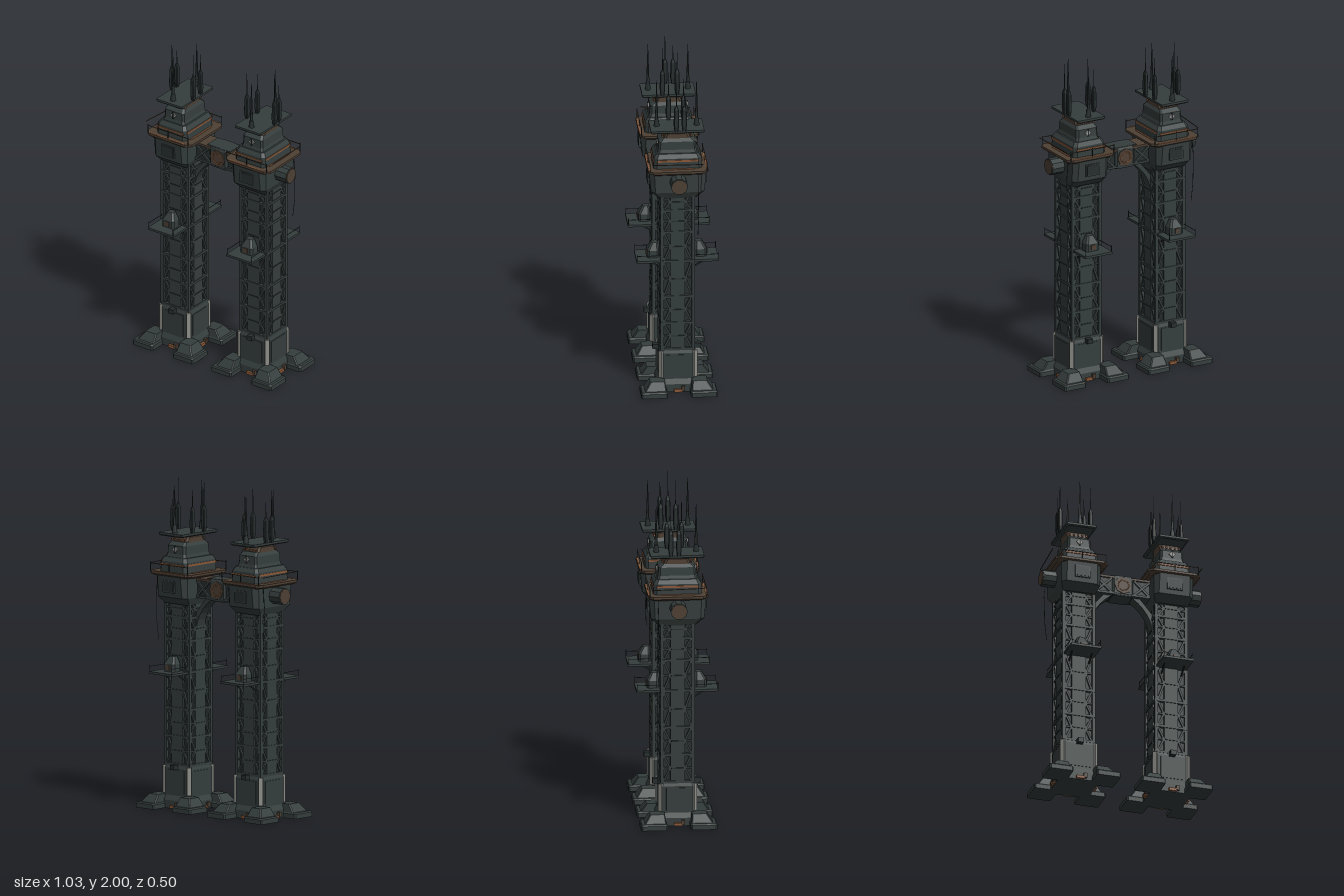
import * as THREE from 'three';

const mat = (name, color, side = THREE.FrontSide) =>
  Object.assign(new THREE.MeshStandardMaterial({ color, side }), { name });

export function createModel() {
  const slate = mat('slate', 0x353e3d);
  const dark = mat('darkSteel', 0x272e2e);
  const brown = mat('rustBrown', 0x4e4034);
  const copper = mat('copper', 0x8c5a3a);
  const pale = mat('paleStone', 0x8f908b);

  const add = (parent, name, geo, material, x = 0, y = 0, z = 0) => {
    const m = new THREE.Mesh(geo, material);
    m.name = name;
    m.position.set(x, y, z);
    parent.add(m);
    return m;
  };
  const box = (p, name, material, w, h, d, x, y, z) =>
    add(p, name, new THREE.BoxGeometry(w, h, d), material, x, y, z);

  // Chamfered rectangular loft; each level is [y, halfX, halfZ, chamfer, shiftX, shiftZ]
  function loft(levels) {
    const pos = [], idx = [];
    for (const [y, a, b, c = 0.004, sx = 0, sz = 0] of levels) {
      const ring = [[a, b - c], [a, c - b], [a - c, -b], [c - a, -b], [-a, c - b], [-a, b - c], [c - a, b], [a - c, b]];
      for (const [x, z] of ring) pos.push(x + sx, y, z + sz);
    }
    const last = (levels.length - 1) * 8;
    for (let i = 0; i < last; i += 8)
      for (let k = 0; k < 8; k++) {
        const n = (k + 1) % 8;
        idx.push(i + k, i + n, i + 8 + n, i + k, i + 8 + n, i + 8 + k);
      }
    for (let k = 1; k < 7; k++) idx.push(last, last + k, last + k + 1, 0, k + 1, k);
    const g = new THREE.BufferGeometry();
    g.setAttribute('position', new THREE.Float32BufferAttribute(pos, 3));
    g.setIndex(idx);
    const flat = g.toNonIndexed();
    flat.computeVertexNormals();
    return flat;
  }

  // Thin bar between two points
  function bar(p, name, material, a, b, w, d = w) {
    const va = new THREE.Vector3(...a), vb = new THREE.Vector3(...b);
    const dir = vb.clone().sub(va);
    const m = add(p, name, new THREE.BoxGeometry(w, dir.length(), d), material);
    m.position.copy(va.add(vb).multiplyScalar(0.5));
    m.quaternion.setFromUnitVectors(new THREE.Vector3(0, 1, 0), dir.normalize());
    return m;
  }

  // Lattice on one face of the shaft, drawn facing +z
  function latticeFace() {
    const g = new THREE.Group();
    g.name = 'latticeFace';
    box(g, 'centrePanel', slate, 0.088, 1.02, 0.02, 0, 0.77, 0.09);
    const bands = [0.27, 0.44, 0.61, 0.84, 1.03, 1.17, 1.28];
    bands.forEach((y, i) => {
      box(g, 'crossBand', slate, 0.2, 0.016, 0.022, 0, y, 0.094);
      if (i === bands.length - 1) return;
      const mid = (y + bands[i + 1]) / 2, top = bands[i + 1];
      box(g, 'panelRib', dark, 0.078, 0.006, 0.006, 0, mid, 0.101);
      for (const s of [-1, 1]) {
        bar(g, 'diagonalBrace', slate, [s * 0.085, y, 0.093], [s * 0.045, mid, 0.093], 0.012);
        bar(g, 'diagonalBrace', slate, [s * 0.045, mid, 0.093], [s * 0.085, top, 0.093], 0.012);
        box(g, 'sideBrace', slate, 0.045, 0.01, 0.012, s * 0.065, mid, 0.093);
      }
    });
    // plinth panel
    box(g, 'plinthPanel', slate, 0.14, 0.14, 0.008, 0, 0.165, 0.109);
    return g;
  }

  function spike(p, x, z, top, r) {
    const h = top - 1.68;
    add(p, 'antennaBase', new THREE.CylinderGeometry(r * 0.7, r, 0.05, 6), dark, x, 1.705, z);
    add(p, 'antennaSpike', new THREE.CylinderGeometry(0.0012, r * 0.65, h, 6), dark, x, 1.68 + h / 2, z);
  }

  // s = +1 puts the outer side towards +x
  function tower(s) {
    const t = new THREE.Group();
    t.name = s > 0 ? 'leftTower' : 'rightTower';

    // Feet
    for (const fx of [-1, 1]) for (const fz of [-1, 1]) {
      add(t, 'footSlab', loft([[0, 0.075, 0.08, 0.008], [0.028, 0.075, 0.08, 0.008], [0.036, 0.068, 0.074, 0.008]]),
        slate, fx * 0.15, 0, fz * 0.15);
      add(t, 'footBlock', loft([[0.034, 0.06, 0.066, 0.006], [0.085, 0.04, 0.045, 0.006, -fx * 0.015, -fz * 0.015]]),
        slate, fx * 0.142, 0, fz * 0.142);
      // Pale plinth corner posts
      const post = box(t, 'cornerPost', pale, 0.026, 0.17, 0.026, fx * 0.1, 0.175, fz * 0.1);
      post.rotation.y = Math.PI / 4;
      box(t, 'cornerColumn', slate, 0.02, 1.05, 0.02, fx * 0.094, 0.76, fz * 0.094);
    }
    add(t, 'base', loft([[0, 0.125, 0.125, 0.02], [0.05, 0.125, 0.125, 0.02], [0.08, 0.11, 0.11, 0.015],
      [0.245, 0.11, 0.11, 0.015], [0.27, 0.1, 0.1, 0.01]]), slate);
    for (let i = 0; i < 4; i++) {
      const side = latticeFace();
      side.rotation.y = i * Math.PI / 2;
      box(side, 'basePipe', copper, 0.05, 0.018, 0.05, 0, 0.012, 0.115);
      box(side, 'baseValve', brown, 0.02, 0.03, 0.03, 0.03, 0.025, 0.128);
      t.add(side);
    }
    box(t, 'shaftCore', dark, 0.172, 1.06, 0.172, 0, 0.77, 0);

    // Balconies, front and back
    for (const f of [-1, 1]) {
      box(t, 'balcony', slate, 0.19, 0.014, 0.15, 0, 0.837, f * 0.173);
      add(t, 'balconyHousing', loft([[0.844, 0.045, 0.035, 0.012], [0.89, 0.045, 0.035, 0.012], [0.935, 0.022, 0.02, 0.01, 0, -f * 0.012]]),
        slate, 0, 0, f * 0.145);
      box(t, 'balconyDoor', brown, 0.03, 0.03, 0.008, 0, 0.87, f * 0.182);
      for (const x of [-0.09, 0.09]) {
        bar(t, 'balconyRail', dark, [x, 0.875, f * 0.11], [x, 0.875, f * 0.245], 0.003);
        bar(t, 'balconyPost', dark, [x, 0.84, f * 0.245], [x, 0.885, f * 0.245], 0.003);
        bar(t, 'balconyStay', dark, [x * 0.7, 0.79, f * 0.1], [x * 0.7, 0.832, f * 0.17], 0.008);
      }
      box(t, 'plinthLamp', dark, 0.035, 0.03, 0.035, 0, 0.255, f * 0.128);
      // Head recess panel and its frame
      box(t, 'headPanel', slate, 0.095, 0.075, 0.01, 0, 1.362, f * 0.172);
      box(t, 'headPanelInset', dark, 0.08, 0.06, 0.006, 0, 1.362, f * 0.176);
      // Lookout window
      const win = box(t, 'lookoutWindow', pale, 0.03, 0.03, 0.008, 0, 1.582, f * 0.118);
      win.rotation.z = Math.PI / 4;
      box(t, 'windowBar', dark, 0.008, 0.045, 0.008, 0, 1.582, f * 0.12);
      // Deck rails, upper rust bands and lamp row
      bar(t, 'deckRail', brown, [-0.15, 1.492, f * 0.172], [0.15, 1.492, f * 0.172], 0.004);
      for (const x of [-0.15, 0, 0.15]) bar(t, 'deckPost', dark, [x, 1.44, f * 0.172], [x, 1.5, f * 0.172], 0.004);
      box(t, 'rustBand', copper, 0.2, 0.008, 0.006, 0, 1.492, f * 0.147);
      for (let i = -2; i <= 2; i++) box(t, 'lamp', copper, 0.009, 0.012, 0.009, i * 0.026, 1.638, f * 0.087);
    }
    for (const e of [-1, 1]) box(t, 'rustBand', copper, 0.006, 0.012, 0.25, e * 0.109, 1.495, 0);
    bar(t, 'deckRail', brown, [s * 0.165, 1.49, -0.15], [s * 0.18, 1.5, 0.15], 0.004);

    // Head and rusted deck
    add(t, 'head', loft([[1.25, 0.1, 0.115, 0.015], [1.295, 0.122, 0.162, 0.025], [1.425, 0.124, 0.174, 0.03]]), slate);
    add(t, 'deck', loft([[1.42, 0.15, 0.168, 0.03], [1.432, 0.166, 0.182, 0.03], [1.446, 0.166, 0.182, 0.03]]), brown);
    for (const f of [-1, 1]) {
      box(t, 'deckTrim', copper, 0.25, 0.006, 0.008, 0, 1.445, f * 0.175);
      box(t, 'deckTrim', copper, 0.01, 0.006, 0.2, f * 0.12, 1.446, 0);
    }

    // Stepped crown
    add(t, 'lowerCrown', loft([[1.44, 0.112, 0.147, 0.02], [1.51, 0.108, 0.144, 0.02], [1.535, 0.092, 0.128, 0.015]]), slate);
    add(t, 'lookout', loft([[1.53, 0.082, 0.122, 0.012], [1.555, 0.074, 0.115, 0.012], [1.605, 0.072, 0.112, 0.012],
      [1.628, 0.06, 0.088, 0.01]]), slate);
    add(t, 'neck', loft([[1.62, 0.062, 0.082, 0.012], [1.65, 0.062, 0.07, 0.012], [1.675, 0.075, 0.055, 0.012]]), brown);
    add(t, 'roofPlate', loft([[1.665, 0.085, 0.155, 0.004], [1.672, 0.095, 0.162, 0.004], [1.685, 0.095, 0.162, 0.004]]), slate);

    // Antennas and side blades
    spike(t, 0, -0.122, 1.97, 0.018);
    spike(t, 0, 0.12, 1.98, 0.018);
    for (const [x, z, top] of [[-0.08, -0.05, 1.95], [-0.092, 0.04, 1.99], [0.088, -0.04, 1.93], [0.09, 0.008, 2]]) {
      spike(t, s * x, z, top, 0.008);
      add(t, 'antennaBlade', loft([[1.68, 0.008, 0.01, 0.003], [1.72, 0.013, 0.016, 0.004], [1.82, 0.011, 0.014, 0.004],
        [1.842, 0.005, 0.007, 0.002]]), dark, s * x, 0, z);
    }

    // Outer drum
    const drum = add(t, 'drum', new THREE.CylinderGeometry(0.052, 0.052, 0.09, 10).toNonIndexed(), slate, s * 0.16, 1.365, 0);
    drum.geometry.computeVertexNormals();
    drum.rotation.z = Math.PI / 2;
    const cap = add(t, 'drumCap', new THREE.CylinderGeometry(0.047, 0.047, 0.008, 10), brown, s * 0.206, 1.365, 0);
    cap.rotation.z = Math.PI / 2;

    // Hanging cables
    bar(t, 'cable', dark, [s * 0.15, 1.3, -0.12], [s * 0.145, 1.13, -0.122], 0.003);
    bar(t, 'cable', dark, [s * 0.145, 1.13, -0.122], [s * 0.135, 1.02, -0.118], 0.003);
    bar(t, 'cable', dark, [s * 0.15, 1.3, -0.12], [s * 0.14, 1.42, -0.12], 0.003);

    t.position.x = s * 0.2925;
    return t;
  }

  const model = new THREE.Group();
  model.name = 'twinTowerGate';
  model.add(tower(1), tower(-1));

  // Bridge with central hub
  const bridge = new THREE.Group();
  bridge.name = 'bridge';
  box(bridge, 'bridgeCore', dark, 0.36, 0.1, 0.1, 0, 1.355, 0);
  box(bridge, 'bridgeRoof', brown, 0.36, 0.014, 0.124, 0, 1.408, 0);
  box(bridge, 'bridgeFloor', slate, 0.36, 0.014, 0.124, 0, 1.302, 0);
  add(bridge, 'hub', loft([[1.288, 0.062, 0.058, 0.012], [1.305, 0.066, 0.064, 0.012], [1.41, 0.066, 0.064, 0.012],
    [1.422, 0.06, 0.058, 0.012]]), slate);
  box(bridge, 'roofPatch', slate, 0.17, 0.006, 0.105, 0, 1.42, 0);
  for (const f of [-1, 1]) {
    const disc = add(bridge, 'hubDisc', new THREE.CylinderGeometry(0.055, 0.055, 0.008, 8), brown, 0, 1.357, f * 0.066);
    disc.rotation.x = Math.PI / 2;
    const ring = add(bridge, 'hubRing', new THREE.TorusGeometry(0.034, 0.004, 4, 10), copper, 0, 1.357, f * 0.069);
    ring.name = 'hubRing';
    for (const s of [-1, 1]) {
      bar(bridge, 'bridgeBrace', slate, [s * 0.07, 1.305, f * 0.054], [s * 0.17, 1.4, f * 0.054], 0.014);
      bar(bridge, 'bridgeBrace', slate, [s * 0.07, 1.4, f * 0.054], [s * 0.17, 1.305, f * 0.054], 0.014);
    }
  }

  // Curved knee struts under the bridge
  for (const s of [-1, 1]) {
    const k = new THREE.Shape();
    k.moveTo(s * 0.192, 1.115);
    k.quadraticCurveTo(s * 0.172, 1.22, s * 0.065, 1.296);
    k.lineTo(s * 0.115, 1.296);
    k.lineTo(s * 0.192, 1.205);
    const geo = new THREE.ExtrudeGeometry(k, { depth: 0.07, bevelEnabled: false, curveSegments: 5 });
    add(bridge, 'kneeStrut', geo, slate, 0, 0, -0.035);
  }
  model.add(bridge);
  return model;
}
